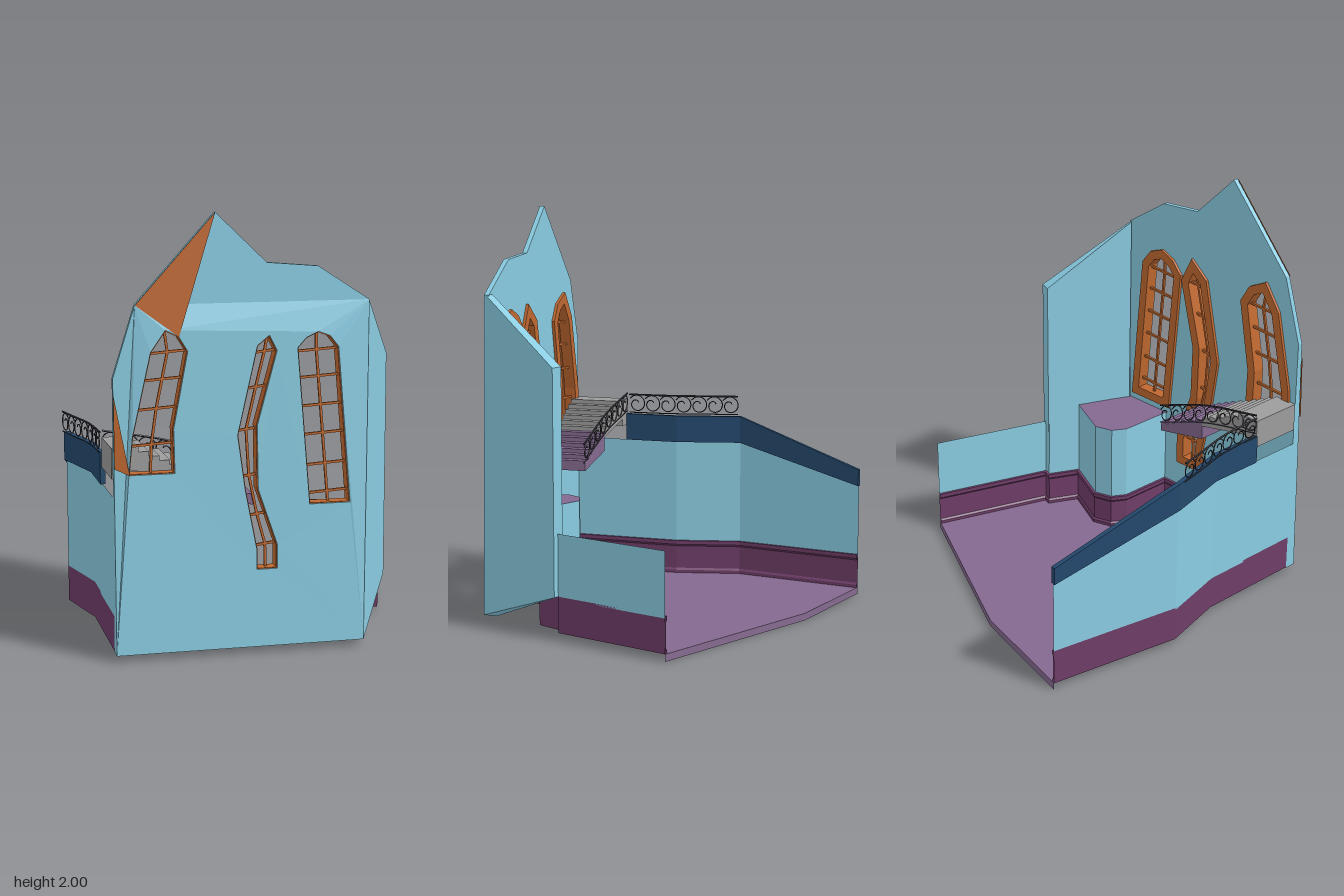
import * as THREE from 'three';

const V2 = (p) => new THREE.Vector2(p[0], p[1]);
const material = (color) =>
  new THREE.MeshStandardMaterial({ color, flatShading: true, side: THREE.DoubleSide });
const blue = material(0x8accE2), navy = material(0x24496d), floorPurple = material(0x84698f);
const plum = material(0x6f3d68), orange = material(0xbf6830), grey = material(0x9c9c9c), iron = material(0x33333c);

// Shift a 2D path sideways with mitred corners; positive is left of travel.
function offset(pts, d, closed = false) {
  const n = pts.length;
  const normal = (a, b) => {
    const dx = b[0] - a[0], dy = b[1] - a[1], l = Math.hypot(dx, dy);
    return [-dy / l, dx / l];
  };
  return pts.map((p, i) => {
    const hasPrev = closed || i > 0, hasNext = closed || i < n - 1;
    const next = hasNext && normal(p, pts[(i + 1) % n]);
    const prev = hasPrev ? normal(pts[(i + n - 1) % n], p) : next;
    const b = next || prev;
    const k = d / Math.max(0.4, 1 + prev[0] * b[0] + prev[1] * b[1]);
    return [p[0] + (prev[0] + b[0]) * k, p[1] + (prev[1] + b[1]) * k];
  });
}

// Skin a grid of rows of [x, y, z] points.
function loft(rows) {
  const pos = [];
  for (let i = 0; i < rows.length - 1; i++)
    for (let j = 0; j < rows[0].length - 1; j++) {
      const a = rows[i][j], b = rows[i][j + 1], c = rows[i + 1][j + 1], d = rows[i + 1][j];
      pos.push(...a, ...b, ...c, ...a, ...c, ...d);
    }
  const g = new THREE.BufferGeometry();
  g.setAttribute('position', new THREE.Float32BufferAttribute(pos, 3));
  g.computeVertexNormals();
  return g;
}

// Sheet standing on a plan path between two heights (number or one per point).
const sheet = (path, low, high) => {
  const row = (h) => path.map((p, i) => [p[0], Array.isArray(h) ? h[i] : h, p[1]]);
  return loft([row(low), row(high)]);
};
// Flat horizontal surface from a plan outline.
const slab = (plan, y) =>
  new THREE.ShapeGeometry(new THREE.Shape(plan.map(V2))).rotateX(Math.PI / 2).translate(0, y, 0);

// Leftmost and rightmost x of a polygon at height y.
function span(poly, y) {
  const xs = [];
  poly.forEach((a, i) => {
    const b = poly[(i + 1) % poly.length];
    if ((a[1] > y) !== (b[1] > y)) xs.push(a[0] + (b[0] - a[0]) * (y - a[1]) / (b[1] - a[1]));
  });
  return [Math.min(...xs), Math.max(...xs)];
}

const facade = [[-0.73, 0.03], [0.42, 0.03], [0.44, 1.6], [0.2, 1.755], [-0.035, 1.775],
  [-0.27, 2], [-0.63, 1.6], [-0.73, 1.28]];
// Counter-clockwise window openings with the heights of their cross bars.
const windows = [
  { name: 'leftLeaningWindow', bars: [0.98, 1.14, 1.27, 1.39],
    hole: [[-0.667, 0.85], [-0.46, 0.85], [-0.465, 1.05], [-0.4, 1.395], [-0.44, 1.46],
      [-0.5, 1.49], [-0.566, 1.395], [-0.65, 1.02]] },
  { name: 'bentWindow', bars: [0.5, 0.64, 0.82, 1.03, 1.22, 1.38],
    hole: [[-0.085, 0.39], [0.01, 0.39], [0.01, 0.5], [-0.08, 0.76], [-0.085, 1.05], [0.005, 1.385],
      [-0.03, 1.455], [-0.085, 1.41], [-0.175, 1.01], [-0.14, 0.76], [-0.085, 0.48]] },
  { name: 'archedWindow', bars: [0.73, 0.86, 1, 1.13, 1.26, 1.38],
    hole: [[0.16, 0.68], [0.35, 0.68], [0.29, 1.395], [0.25, 1.445], [0.195, 1.465],
      [0.14, 1.44], [0.1, 1.395]] },
];
const leftPath = [[-0.69, -0.81], [-0.81, -0.14], [-0.73, 0.19], [-0.73, 0.47], [-0.73, 0.76]];
const pillarPath = [[0.53, 0.47], [0.28, 0.36], [0.19, 0.39], [0.15, 0.46], [0.15, 0.75]];
const lowWallPath = [[0.83, -0.26], [0.64, 0.33], [0.6, 0.32]];
const roomPath = [...lowWallPath, ...pillarPath, [-0.73, 0.75], ...leftPath.slice(0, 3).reverse()];

export function createModel() {
  const root = new THREE.Group();
  const add = (name, geometry, mat, parent = root) => {
    const mesh = new THREE.Mesh(geometry, mat);
    mesh.name = name;
    parent.add(mesh);
    return mesh;
  };
  const group = (name) => {
    const g = new THREE.Group();
    g.name = name;
    root.add(g);
    return g;
  };

  // Front wall: flat inside, slightly faceted outside
  const shape = new THREE.Shape(facade.map(V2));
  windows.forEach((w) => shape.holes.push(new THREE.Path(w.hole.map(V2))));
  const wall = new THREE.ExtrudeGeometry(shape, { depth: 1, bevelEnabled: false });
  const p = wall.attributes.position;
  for (let i = 0; i < p.count; i++) {
    const edge = facade.some((f) => Math.hypot(f[0] - p.getX(i), f[1] - p.getY(i)) < 1e-4);
    const outer = !edge ? 0.805 : p.getY(i) < 0.1 ? 0.81 : 0.775;
    p.setZ(i, p.getZ(i) > 0.5 ? outer : 0.75);
  }
  wall.computeVertexNormals();
  add('frontWall', wall, blue);
  const patch = (a, b, c) => add('orangeWallFacet', loft([[a, b], [c, c]]), orange);
  patch([-0.63, 1.6, 0.781], [-0.27, 2, 0.781], [-0.44, 1.46, 0.811]);
  patch([-0.73, 1.21, 0.785], [-0.73, 0.88, 0.797], [-0.664, 0.85, 0.811]);

  // Windows: inner casing, lining and glazing bars
  for (const { name, hole, bars } of windows) {
    const g = group(name);
    const ring = (label, out, inn, z0, z1) => {
      const s = new THREE.Shape(offset(hole, out, true).map(V2));
      s.holes.push(new THREE.Path(offset(hole, inn, true).map(V2)));
      const geo = new THREE.ExtrudeGeometry(s, { depth: z1 - z0, bevelEnabled: false });
      add(label, geo.translate(0, 0, z0), orange, g);
    };
    ring('casing', -0.042, 0.004, 0.735, 0.752);
    ring('lining', -0.001, 0.004, 0.74, 0.798);
    const bar = (x0, y0, x1, y1) => {
      const m = add('glazingBar', new THREE.BoxGeometry(Math.hypot(x1 - x0, y1 - y0), 0.011, 0.012), orange, g);
      m.position.set((x0 + x1) / 2, (y0 + y1) / 2, 0.765);
      m.rotation.z = Math.atan2(y1 - y0, x1 - x0);
    };
    bars.forEach((y) => {
      const [a, b] = span(hole, y);
      bar(a, y - 0.006, b, y + 0.006);
    });
    const ys = hole.map((h) => h[1]);
    const levels = [Math.min(...ys) + 0.002, ...bars, Math.max(...ys) - 0.002];
    const mids = levels.map((y) => { const [a, b] = span(hole, y); return [(a + b) / 2, y]; });
    for (let i = 1; i < mids.length; i++) bar(...mids[i - 1], ...mids[i]);
  }

  // Right wall with sloping top and bottom
  const section = (outer, inner, low, high) => [[outer, low], [outer, high], [inner, high], [inner, low], [outer, low]]
    .map(([q, y]) => [q[0], y, q[1]]);
  const nearLow = section([0.42, 0.81], [0.42, 0.74], 0.03, 1.6);
  nearLow[1] = nearLow[1].map((v, i) => [0.44, 1.6, 0.768][i]);
  const far = section([0.665, 0.34], [0.605, 0.32], 0.21, 1.29);
  add('rightWall', loft([nearLow, far, far.map(() => [0.635, 0.75, 0.33])]), blue);

  // Low right wall, pillar and floor
  add('lowRightWall', sheet(lowWallPath, 0.2, 0.51), blue);
  add('pillarSides', sheet(pillarPath, 0.2, 0.6), blue);
  add('pillarTop', slab([...pillarPath, [0.42, 0.75]], 0.6), floorPurple);
  add('floor', slab([...roomPath, [-0.08, -0.68]], 0.035), floorPurple);
  add('floorEdge', sheet([[-0.69, -0.81], [-0.08, -0.68], [0.83, -0.26]], 0, 0.035), floorPurple);

  // Moulded panelling running round the room
  const moulding = [[0, 0.035], [0, 0.21], [0.014, 0.21], [0.014, 0.19], [0.006, 0.18], [0.006, 0.06],
    [0.014, 0.05], [0.014, 0.035]];
  add('panelling', loft(moulding.map(([d, y]) => offset(roomPath, d).map((q) => [q[0], y, q[1]]))), plum);

  // Left wall and its dark cap
  const capLow = [0.57, 0.745, 0.745, 0.745, 0.745], capHigh = [0.655, 0.885, 0.885, 0.885];
  add('leftWall', sheet(leftPath, 0.2, capLow), blue);
  const capPath = leftPath.slice(0, 4);
  const sides = [offset(capPath, -0.012), offset(capPath, 0.012)];
  const capRows = capPath.map((_, i) => section(sides[0][i], sides[1][i], capLow[i], capHigh[i]));
  const centre = (i) => capRows[i].map(() => [capPath[i][0], (capLow[i] + capHigh[i]) / 2, capPath[i][1]]);
  add('leftWallCap', loft([centre(0), ...capRows, centre(3)]), navy);

  // Floating staircase, grey above and purple below
  const run = 0.0475, treadY = (i) => 0.965 - i * 0.0215;
  const flight = (name, from, to, mat) => {
    const pts = [];
    for (let i = from; i < to; i++) {
      const x = -0.66 + i * run;
      pts.push([x, treadY(i)], [x + run, treadY(i)]);
    }
    pts.push([-0.66 + to * run, treadY(to) - 0.03], [-0.66 + from * run, treadY(from) - 0.1]);
    const geo = new THREE.ExtrudeGeometry(new THREE.Shape(pts.map(V2)), { depth: 0.275, bevelEnabled: false });
    add(name, geo.translate(0, 0, 0.47), mat);
  };
  add('landing', new THREE.BoxGeometry(0.075, 0.14, 0.275).translate(-0.697, 0.895, 0.6075), grey);
  flight('upperSteps', 0, 6, grey);
  flight('lowerSteps', 6, 12, floorPurple);

  // Scrolled iron railings
  const railing = (name, points, count) => {
    const g = group(name);
    const base = new THREE.CatmullRomCurve3(points.map((q) => new THREE.Vector3(...q)));
    const length = base.getLength();
    const at = (s, h) => base.getPointAt(THREE.MathUtils.clamp(s / length, 0, 1)).add(new THREE.Vector3(0, h, 0));
    const wire = (label, pts, r) =>
      add(label, new THREE.TubeGeometry(new THREE.CatmullRomCurve3(pts), 28, r, 5), iron, g);
    const line = (h) => Array.from({ length: 9 }, (_, i) => at(length * i / 8, h));
    wire('handrail', line(0.1), 0.005);
    wire('footRail', line(0.004), 0.003);
    for (let k = 0; k < count; k++) {
      const s = (k + 0.5) * length / count;
      const curl = Array.from({ length: 18 }, (_, i) => {
        const t = i / 17, a = 0.6 + t * 8.2, r = 0.046 * (1 - 0.75 * t * t);
        return at(s + r * Math.cos(a), 0.052 + r * Math.sin(a));
      });
      wire('scroll', curl, 0.003);
    }
  };
  railing('wallRailing', [[-0.83, 0.887, -0.12], [-0.8, 0.887, 0.02], [-0.755, 0.887, 0.22], [-0.74, 0.887, 0.46]], 7);
  railing('stairRailing', [[-0.73, 0.895, 0.468], [-0.4, 0.83, 0.468], [-0.08, 0.715, 0.472]], 8);

  return root;
}
